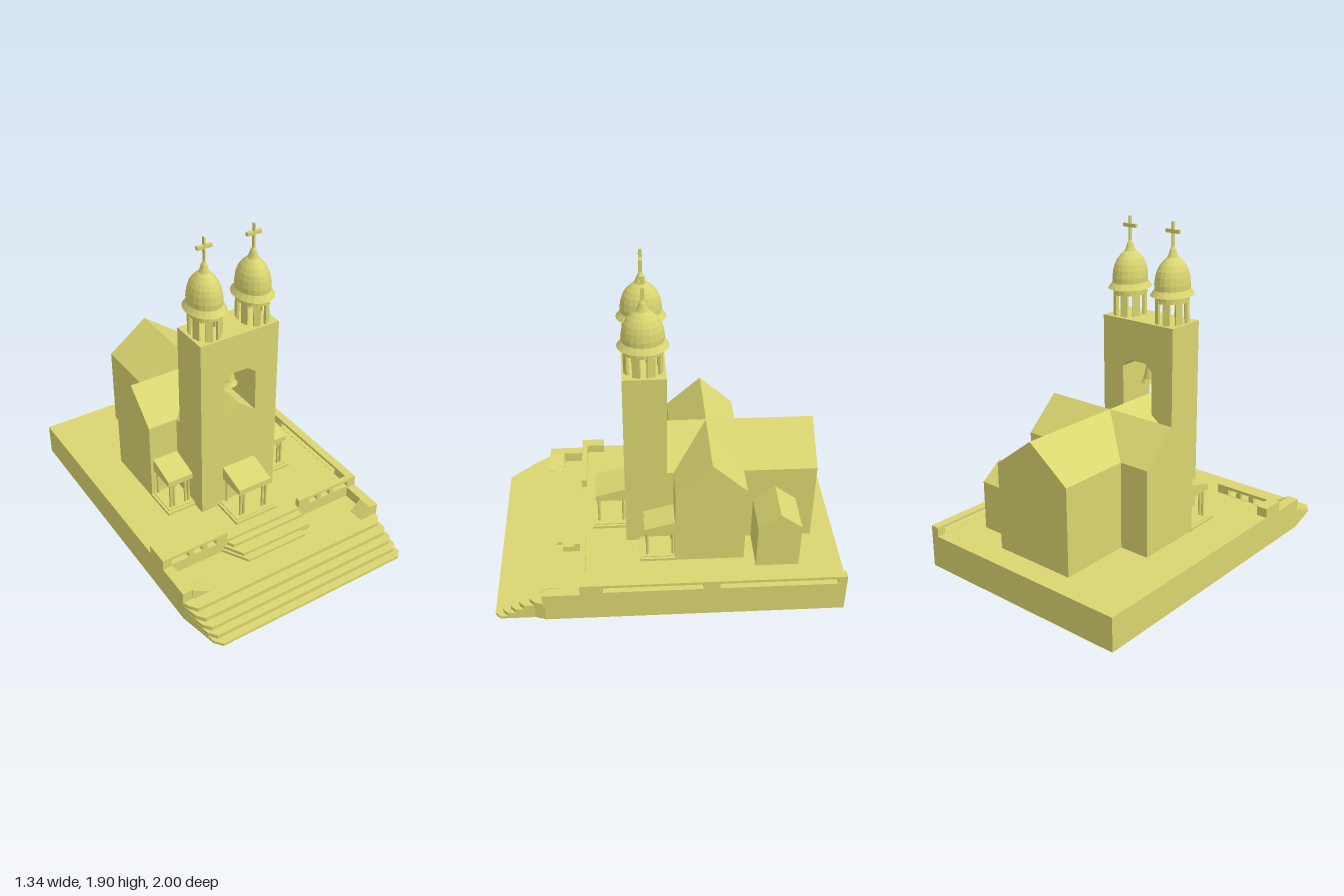
import * as THREE from 'three';

const material = new THREE.MeshStandardMaterial({ color: 0xd9d570, flatShading: true, side: THREE.DoubleSide });

const toShape = (pts) => new THREE.Shape(pts.map(([a, b]) => new THREE.Vector2(a, b)));

function extrude(pts, depth, holes = []) {
  const shape = toShape(pts);
  holes.forEach((h) => shape.holes.push(toShape(h)));
  return new THREE.ExtrudeGeometry(shape, { depth, bevelEnabled: false });
}

function add(parent, name, geometry) {
  const mesh = new THREE.Mesh(geometry, material);
  mesh.name = name;
  parent.add(mesh);
  return mesh;
}

// Box given by its limits on each axis
function box(parent, name, [x0, x1], [y0, y1], [z0, z1]) {
  const g = new THREE.BoxGeometry(x1 - x0, y1 - y0, z1 - z0);
  return add(parent, name, g.translate((x0 + x1) / 2, (y0 + y1) / 2, (z0 + z1) / 2));
}

// Outline in (x, y) swept along z
const prismZ = (parent, name, pts, z0, z1, holes) =>
  add(parent, name, extrude(pts, z1 - z0, holes).translate(0, 0, z0));

// Outline in (z, y) swept along x
const prismX = (parent, name, pts, x0, x1, holes) =>
  add(parent, name, extrude(pts, x1 - x0, holes).rotateY(-Math.PI / 2).translate(x1, 0, 0));

// Plan outline in (x, z) swept up in y
const slab = (parent, name, pts, y0, y1) =>
  add(parent, name, extrude(pts, y1 - y0).rotateX(Math.PI / 2).translate(0, y1, 0));

const rect = (a0, a1, b0, b1) => [[a0, b0], [a1, b0], [a1, b1], [a0, b1]];
const gable = (a0, a1, base, eave, ridge) =>
  [[a0, base], [a1, base], [a1, eave], [(a0 + a1) / 2, ridge], [a0, eave]];

const FLOOR = 0.195;

function buildGrounds(root) {
  const g = new THREE.Group();
  g.name = 'grounds';
  root.add(g);
  box(g, 'terrace', [-0.67, 0.67], [0, FLOOR], [-1, 0.51]);

  // Wide front stairs, each lower step reaching further forward
  [[0.80, 0.12], [0.86, 0.095], [0.91, 0.067], [0.955, 0.042], [1.0, 0.017]].forEach(([z, y]) => {
    const left = -0.67 + (z - 0.72) * 0.17;
    slab(g, 'frontStep', [[-0.67, 0.5], [0.67, 0.5], [0.67, 0.71], [0.65, 0.77], [0.65, z - 0.03],
      [0.618, z], [left + 0.035, z], [left, z - 0.045], [-0.67, 0.72]], 0, y);
  });

  // Inner stairs from the landing to the terrace
  [[0.66, 0.137, -0.29, -0.20, 0.19], [0.62, 0.157, -0.275, -0.21, 0.25], [0.55, 0.177, -0.255, -0.23, 0.25]]
    .forEach(([z, y, back, front, right]) =>
      slab(g, 'innerStep', [[back, 0.505], [0.25, 0.505], [0.25, Math.min(z, 0.62)], [right, Math.min(z, 0.62)],
        [right, z], [front, z]], 0.1, y));

  // Landing walls with sloped wedges
  for (const [s, outer, inner] of [[-1, 0.61, 0.505], [1, 0.615, 0.55]]) {
    const xs = [s * outer, s * 0.67].sort((a, b) => a - b);
    box(g, 'landingWall', xs, [0.1, 0.186], [0.5, 0.725]);
    prismZ(g, 'landingWedge', [[s * outer, 0.11], [s * inner, 0.11], [s * inner, 0.122], [s * outer, 0.186]], 0.635, 0.73);
  }

  // Pierced parapets
  const opening = ([a, b]) => rect(a, b, 0.197, 0.232);
  for (const s of [-1, 1]) {
    const holes = [[0.325, 0.385], [0.415, 0.475], [0.505, 0.612]].map(([a, b]) => opening([s * a, s * b]));
    prismZ(g, 'frontParapet', rect(s * 0.25, s * 0.67, 0.18, 0.25), 0.48, 0.512, holes);
  }
  prismX(g, 'sideParapet', rect(-1, 0.5, 0.18, 0.25), 0.62, 0.67,
    [opening([-0.185, 0.38]), opening([-0.95, -0.28])]);
  box(g, 'parapetReturn', [-0.67, -0.605], [0.18, 0.25], [0.37, 0.49]);
}

function buildChurch(root) {
  const g = new THREE.Group();
  g.name = 'church';
  root.add(g);
  prismZ(g, 'nave', gable(-0.25, 0.25, 0.18, 0.70, 0.887), -0.86, 0.001);
  prismX(g, 'transept', gable(-0.44, -0.038, 0.18, 0.70, 0.887), -0.43, 0.43);
  prismX(g, 'annex', gable(-0.75, -0.502, 0.18, 0.48, 0.575), 0.24, 0.5);
  // Tower block with the bell opening
  prismZ(g, 'tower', rect(-0.25, 0.25, 0.18, 1.34), 0, 0.24, [[[-0.105, 0.807], [0, 0.887], [0.105, 0.807],
    [0.105, 1.062], [0.08, 1.085], [0.05, 1.105], [-0.05, 1.105], [-0.08, 1.085], [-0.105, 1.062]]]);
}

function buildBell(root) {
  const g = new THREE.Group();
  g.name = 'bell';
  g.position.z = 0.12;
  root.add(g);
  const profile = [[0.055, 0.955], [0.04, 0.98], [0.032, 1.02], [0.026, 1.05], [0.012, 1.07], [0, 1.075]];
  add(g, 'bellBody', new THREE.LatheGeometry(profile.map(([r, y]) => new THREE.Vector2(r, y)), 12));
  for (const s of [-1, 1]) {
    const hanger = add(g, 'bellHanger', new THREE.CylinderGeometry(0.006, 0.006, 0.064, 6));
    hanger.position.set(s * 0.021, 1.083, 0);
    hanger.rotation.z = -s * 0.7;
  }
}

// Oval belfry with open piers, flared eave, dome and cross
function buildBelfry(x) {
  const g = new THREE.Group();
  g.name = 'belfry';
  g.position.set(x, 0, 0.122);
  const drum = new THREE.Group();
  drum.name = 'drum';
  drum.scale.z = 1.25;
  g.add(drum);
  for (let i = 0; i < 8; i++) {
    const a = (i + 0.5) * Math.PI / 4;
    const pier = add(drum, 'pier', new THREE.BoxGeometry(0.036, 0.14, 0.012));
    pier.position.set(Math.sin(a) * 0.08, 1.405, Math.cos(a) * 0.08);
    pier.rotation.y = a;
  }
  add(drum, 'band', new THREE.CylinderGeometry(0.088, 0.088, 0.04, 16)).position.y = 1.48;
  const profile = [[0, 1.497], [0.113, 1.497], [0.098, 1.52], [0.092, 1.53], [0.093, 1.56], [0.088, 1.602],
    [0.079, 1.635], [0.064, 1.665], [0.044, 1.69], [0.028, 1.705], [0.021, 1.725], [0.015, 1.748], [0.004, 1.768]];
  add(drum, 'dome', new THREE.LatheGeometry(profile.map(([r, y]) => new THREE.Vector2(r, y)), 20));
  box(g, 'crossPost', [-0.004, 0.004], [1.75, 1.9], [-0.01, 0.01]);
  box(g, 'crossBar', [-0.045, 0.045], [1.837, 1.857], [-0.01, 0.01]);
  return g;
}

// Lean-to porch on paired columns, centred on x, its back at z
function buildPorch(x, z, halfWidth, depth, plinth) {
  const g = new THREE.Group();
  g.name = 'porch';
  g.position.set(x, 0, z);
  box(g, 'plinth', [-plinth, plinth], [0.18, 0.212], [-0.01, depth + 0.025]);
  box(g, 'plinthStep', [-plinth + 0.015, plinth - 0.015], [0.21, 0.218], [-0.01, depth + 0.008]);
  prismX(g, 'porchRoof', [[-0.01, 0.385], [depth, 0.385], [depth, 0.42], [-0.01, 0.472]], -halfWidth, halfWidth);
  for (const s of [-1, 1]) {
    for (const [dx, dz] of [[0.02, depth - 0.018], [0.042, depth - 0.018], [0.02, 0.012]]) {
      const column = add(g, 'column', new THREE.CylinderGeometry(0.0085, 0.0085, 0.175, 8));
      column.position.set(s * (halfWidth - dx), 0.3, dz);
    }
  }
  return g;
}

export function createModel() {
  const root = new THREE.Group();
  root.name = 'churchModel';
  buildGrounds(root);
  buildChurch(root);
  buildBell(root);
  root.add(buildPorch(0, 0.24, 0.107, 0.175, 0.14));
  for (const s of [-1, 1]) {
    root.add(buildBelfry(s * 0.152));
    root.add(buildPorch(s * 0.332, -0.04, 0.08, 0.178, 0.1));
  }
  return root;
}
